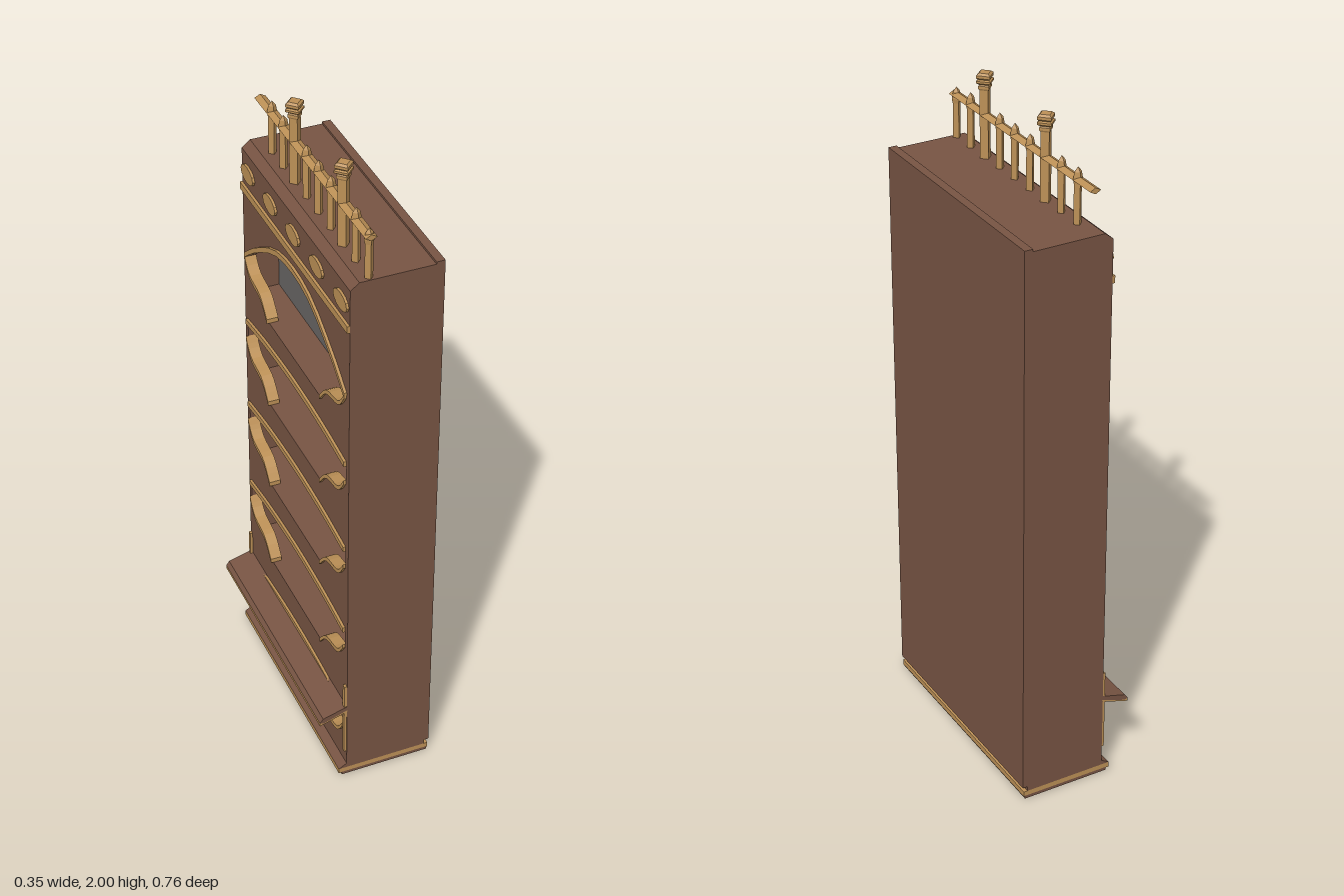
import * as THREE from 'three';

const mat = (name, color, extra = {}) => {
  const m = new THREE.MeshStandardMaterial({ color, flatShading: true, ...extra });
  m.name = name;
  return m;
};

export function createModel() {
  const root = new THREE.Group();
  root.name = 'shelfCabinet';
  const wood = mat('brown wood', 0x775443);
  const gold = mat('gilded wood', 0xbc9056);
  const grey = mat('grey backing', 0x686564);
  const W = 0.378, IN = 0.36;

  const add = (name, geo, material, x = 0, y = 0, z = 0, parent = root) => {
    const m = new THREE.Mesh(geo, material);
    m.name = name;
    m.position.set(x, y, z);
    parent.add(m);
    return m;
  };
  const box = (name, material, x0, x1, y0, y1, z0 = -W, z1 = W) =>
    add(name, new THREE.BoxGeometry(x1 - x0, y1 - y0, z1 - z0), material,
      (x0 + x1) / 2, (y0 + y1) / 2, (z0 + z1) / 2);
  const toShape = pts => new THREE.Shape(pts.map(p => new THREE.Vector2(...p)));
  const rect = (w, y0, y1) => [[-w, y0], [w, y0], [w, y1], [-w, y1]];
  // slab with its outline in (z, y), running from x0 to x1
  const slab = (name, material, outline, holes, x0, x1) => {
    const s = toShape(outline);
    holes.forEach(h => s.holes.push(new THREE.Path(h.map(p => new THREE.Vector2(...p)))));
    const g = new THREE.ExtrudeGeometry(s, { depth: x1 - x0, bevelEnabled: false });
    g.rotateY(-Math.PI / 2);
    return add(name, g, material, x1);
  };
  // prism with its profile in (x, y), running the full width
  const prism = (name, material, pts) =>
    add(name, new THREE.ExtrudeGeometry(toShape(pts), { depth: 2 * W, bevelEnabled: false }),
      material, 0, 0, -W);
  const mirrored = half => [...half, ...half.slice().reverse().filter(p => p[0]).map(([z, y]) => [-z, y])];
  const smooth = pts => new THREE.SplineCurve(pts.map(p => new THREE.Vector2(...p)))
    .getPoints(14).map(v => [v.x, v.y]);
  // strip that follows a curve
  const band = (name, pts, t, x0, x1) =>
    slab(name, gold, [...pts, ...pts.slice().reverse().map(([z, y]) => [z, y + t])], [], x0, x1);

  // compartments: bottom, spring line and rise of the top curve
  const bays = [
    { bottom: 1.26, top: 1.38, arch: [[IN, 0], [0.27, 0.07], [0.13, 0.15], [0, 0.172]], peak: 1.56 },
    ...[0.97, 0.67, 0.37, 0.06].map(b => ({
      bottom: b, top: b + 0.18, arch: [[IN, 0], [0.2, 0.018], [0, 0.026]], peak: b + 0.21,
    })),
  ];
  bays.forEach(b => {
    b.curve = smooth(mirrored(b.arch.map(([z, y]) => [z, b.top + y])));
    b.corner = smooth([[0.19, 0], [0.24, 0.052], [0.32, 0.072], [IN, 0.12]]
      .map(([z, y]) => [z, b.bottom + y]));
    const left = b.corner.map(([z, y]) => [-z, y]).reverse();
    const top = b.top - b.bottom < 0.13 ? b.curve.slice(1, -1) : b.curve;
    b.hole = [...left, ...b.corner, ...top];
  });

  // carcass in three layers
  slab('openingPanel', wood, rect(W, 0.04, 1.73), bays.map(b => b.hole), -0.09, -0.065);
  slab('compartmentWalls', wood, rect(W, 0.04, 1.75),
    bays.map(b => rect(IN, b.bottom, b.peak)), -0.065, 0.015);
  box('rearBody', wood, 0.015, 0.175, 0.04, 1.75);
  prism('topChamfer', wood, [[-0.09, 1.73], [-0.065, 1.73], [-0.065, 1.75]]);
  box('topRearRim', wood, 0.15, 0.175, 1.75, 1.757);

  // grey backing and gilded trims of each compartment
  bays.forEach(b => {
    box('compartmentBacking', grey, 0.008, 0.0145, b.bottom, b.peak, -IN, IN);
    band('topTrim', b.curve, 0.017, -0.098, -0.085);
    band('cornerTrimLeft', b.corner, 0.014, -0.098, -0.063);
    band('cornerTrimRight', b.corner.map(([z, y]) => [-z, y]).reverse(), 0.014, -0.098, -0.063);
  });
  // grille in the lowest compartment
  for (let i = -10; i <= 10; i++)
    box('grilleBar', wood, 0.001, 0.008, 0.06, 0.25, i * 0.034 - 0.005, i * 0.034 + 0.005);

  // frieze with oval medallions
  box('friezeTrim', gold, -0.098, -0.09, 1.6, 1.622);
  for (let i = -2; i <= 2; i++) {
    const g = new THREE.CylinderGeometry(1, 1, 0.008, 12);
    g.rotateZ(Math.PI / 2);
    g.scale(1, 0.026, 0.045);
    add('medallion', g, gold, -0.093, 1.672, i * 0.163);
  }

  // sloping ledge and upright strips next to it
  prism('ledge', wood, [[-0.175, 0.236], [-0.165, 0.232], [-0.088, 0.258], [-0.088, 0.272], [-0.165, 0.25]]);
  prism('ledgeTrim', gold, [[-0.175, 0.236], [-0.175, 0.225], [-0.165, 0.228], [-0.088, 0.252], [-0.088, 0.258], [-0.165, 0.232]]);
  for (const s of [-1, 1])
    add('uprightStrip', new THREE.BoxGeometry(0.008, 0.26, 0.012), gold, -0.094, 0.22, s * 0.37);

  // plinth
  box('plinthBottom', wood, -0.105, 0.168, 0, 0.01);
  box('plinthTrim', gold, -0.115, 0.172, 0.008, 0.025);
  prism('plinthTop', wood, [[-0.115, 0.025], [0.16, 0.025], [0.16, 0.04], [-0.09, 0.04]]);

  // crest rail
  const rail = new THREE.CylinderGeometry(0.0165, 0.0165, 2 * W, 4);
  rail.rotateX(Math.PI / 2);
  rail.scale(1, 0.55, 1);
  add('crestRail', rail, gold, -0.033, 1.877, 0);

  // four-sided pickets and tall posts with finials
  const turned = pts => new THREE.LatheGeometry(pts.map(p => new THREE.Vector2(...p)), 4);
  const picket = turned([[0.012, 0], [0.012, 0.115], [0.015, 0.128], [0.011, 0.148], [0, 0.162]]);
  const post = turned([[0.017, 0], [0.017, 0.2], [0.021, 0.205], [0.021, 0.213], [0.017, 0.216],
    [0.028, 0.222], [0.028, 0.228], [0.02, 0.231], [0.027, 0.236], [0.027, 0.244], [0.019, 0.25], [0, 0.25]]);
  for (let i = 0; i < 9; i++) {
    const tall = i === 2 || i === 6;
    add(tall ? 'finialPost' : 'picket', tall ? post : picket, gold,
      -0.033, i === 0 ? 1.738 : 1.75, 0.364 - i * 0.0818);
  }
  return root;
}
